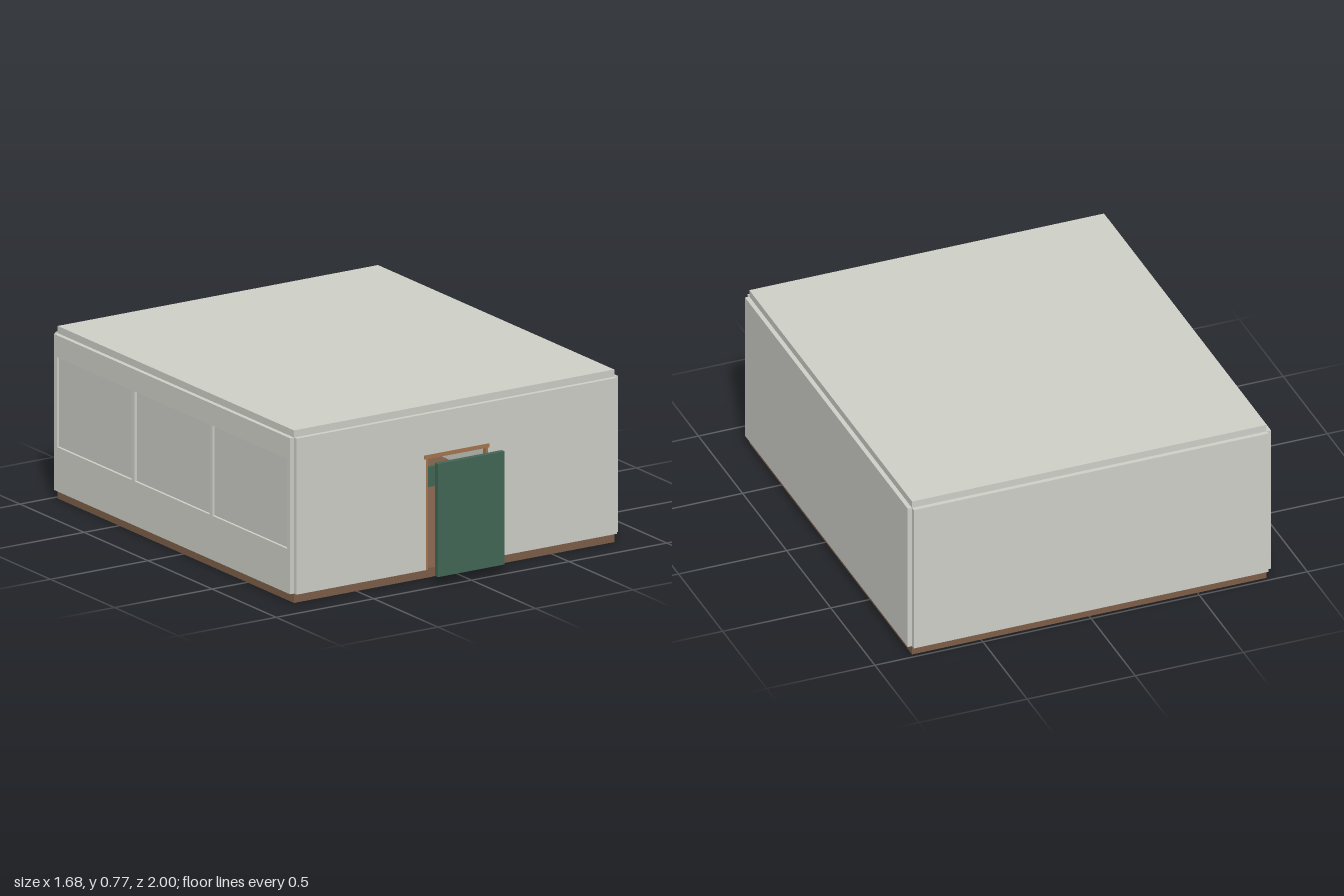
import * as THREE from 'three';

const paint = (name, color) => {
  const m = new THREE.MeshStandardMaterial({ color });
  m.name = name;
  return m;
};

export function createModel() {
  const plaster = paint('plaster', 0xcfd0c8);
  const glass = paint('paleGlass', 0xcaccc5);
  const wood = paint('floorWood', 0x7d5e48);
  const trim = paint('frameWood', 0xa5764f);
  const green = paint('doorGreen', 0x436756);

  const model = new THREE.Group();
  model.name = 'room';

  // Box given by its minimum and maximum on each axis
  const box = (name, mat, [x0, x1], [y0, y1], [z0, z1], parent = model) => {
    const mesh = new THREE.Mesh(new THREE.BoxGeometry(x1 - x0, y1 - y0, z1 - z0), mat);
    mesh.position.set((x0 + x1) / 2, (y0 + y1) / 2, (z0 + z1) / 2);
    mesh.name = name;
    parent.add(mesh);
  };

  const W = 0.82, BACK = -0.98, FRONT = 0.865, T = 0.02;
  const wallY = [0.042, 0.74];

  // Floor and roof slabs
  box('floor', wood, [-W, W], [0, 0.042], [BACK, FRONT]);
  box('roof', plaster, [-W, W], [0.74, 0.772], [BACK, FRONT]);

  // Solid walls
  box('backWall', plaster, [-W, W], wallY, [BACK - T, BACK]);
  box('leftWall', plaster, [W, W + T], wallY, [BACK, FRONT]);

  // Front wall around the doorway
  const front = [FRONT, FRONT + T];
  box('frontWallLeft', plaster, [0.155, W], wallY, front);
  box('frontWallRight', plaster, [-W, -0.155], wallY, front);
  box('doorHeader', plaster, [-0.155, 0.155], [0.545, 0.74], front);

  // Right wall with three windows
  const windows = new THREE.Group();
  windows.name = 'windowWall';
  model.add(windows);
  const side = [-W - T, -W];
  const SILL = 0.24, HEAD = 0.642, POST = 0.024;
  box('sillPanel', plaster, side, [wallY[0], SILL], [BACK, FRONT], windows);
  box('windowHeader', plaster, side, [HEAD, wallY[1]], [BACK, FRONT], windows);
  const step = (FRONT - BACK - POST) / 3;
  for (let i = 0; i < 4; i++) {
    const z = BACK + i * step;
    box('windowPost', plaster, side, [SILL, HEAD], [z, z + POST], windows);
    if (i < 3) box('windowPane', glass, [-W - 0.008, -W], [SILL, HEAD], [z + POST, z + step], windows);
  }

  // Door frame, just proud of the wall
  const frameZ = [FRONT - 0.002, FRONT + T + 0.002];
  box('frameTop', trim, [-0.167, 0.167], [0.538, 0.556], frameZ);
  box('frameJambLeft', trim, [0.148, 0.158], [0.042, 0.538], frameZ);
  box('frameJambRight', trim, [-0.158, -0.148], [0.042, 0.538], frameZ);

  // Rail inside the doorway and the door leaf standing in front
  box('doorwayRail', green, [-0.148, 0.148], [0.41, 0.5], [FRONT, FRONT + T - 0.003]);
  box('doorLeaf', green, [-0.172, 0.17], [0.042, 0.548], [0.976, 1]);

  return model;
}
